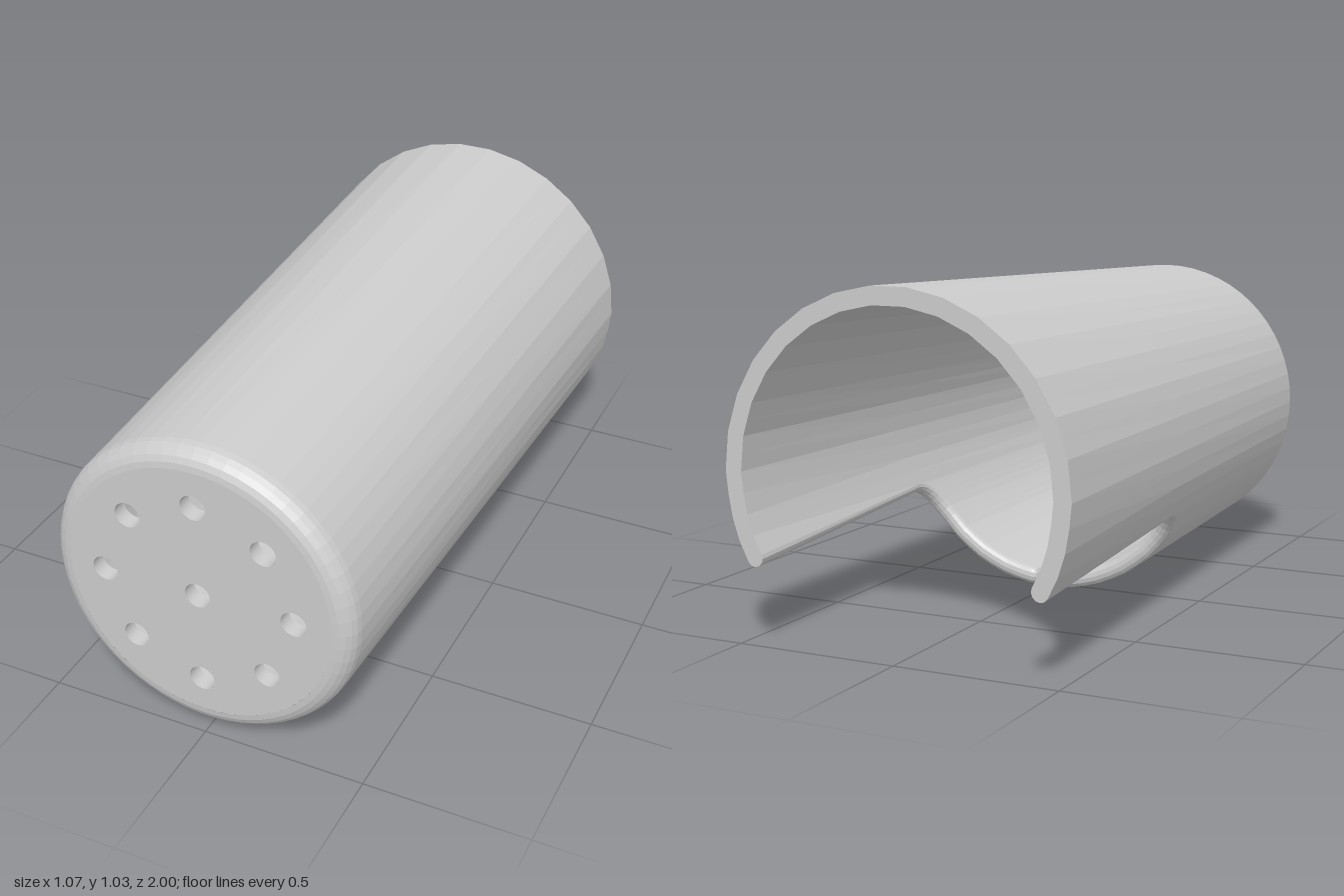
import * as THREE from 'three';

const CENTRE_Y = 0.502, WALL = 0.052, FILLET = 0.06, CAP = 0.05, ROUND = 0.02;
const DEG = Math.PI / 180, ARC = 0.5;            // ARC: path arc length per radian
const CUT_Z = -0.14, CUT_A = 64 * DEG * ARC;     // where the side edges of the cutout begin

const outerRadius = z => 0.501 - 0.034 * z;

// Position on the tapered tube: u is the angle from the bottom
function place(u, r, z) {
  // below the cutout corner, the side edges drift down towards the back
  const fade = THREE.MathUtils.clamp((90 - Math.abs(u) / DEG) / 26, 0, 1);
  const drift = 5.6 * DEG * fade * Math.max(0, (CUT_Z - z) / (1 + CUT_Z));
  const phi = u - Math.sign(u) * drift;
  // round at the front, thirty-sided at the back
  const d = phi - Math.round(phi / (12 * DEG)) * 12 * DEG;
  const facet = Math.cos(6 * DEG) / Math.cos(d);
  const rr = r * THREE.MathUtils.lerp(1, facet, (1 - z) / 2);
  return [rr * Math.sin(phi), CENTRE_Y - rr * Math.cos(phi), z];
}

// Half of the open edge as (arc, z) points with the direction into the material
function openEdge() {
  const path = new THREE.Path();
  path.moveTo(0, 0.38);
  path.lineTo(0.018, 0.38);
  path.quadraticCurveTo(0.045, 0.38, 0.045, 0.353);    // end of the slot
  path.lineTo(0.045, -0.01);
  path.quadraticCurveTo(0.045, -0.04, 0.075, -0.04);   // mouth of the slot
  for (let a = 0.12; a < 0.4; a += 0.05) path.lineTo(a, -0.04);
  path.lineTo(0.4, -0.04);
  path.bezierCurveTo(0.49, -0.04, CUT_A, -0.08, CUT_A, CUT_Z);
  path.lineTo(CUT_A, -1);
  const pts = path.getPoints(8);
  const edge = pts.map((p, i) => {
    const t = new THREE.Vector2();
    if (i > 0) t.add(p.clone().sub(pts[i - 1]).normalize());
    if (i < pts.length - 1) t.add(pts[i + 1].clone().sub(p).normalize());
    t.normalize();
    return { a: p.x, z: p.y, na: -t.y, nz: t.x };
  });
  // plain rim at the back
  for (let deg = 72; deg <= 180; deg += 6) edge.push({ a: deg * DEG * ARC, z: -1, na: 0, nz: 0 });
  return edge;
}

// One lengthwise section: front fillet, outer wall, rounded edge, inner wall
function section(e, side) {
  const rows = [];
  const put = (a, r, z) => rows.push(place(side * a / ARC, r, z));
  const a0 = e.a + e.na * ROUND, z0 = e.z + e.nz * ROUND;
  const mid = Math.max(z0, CUT_Z);
  for (let k = 0; k <= 5; k++) {
    const t = k / 5 * Math.PI / 2, z = 1 - FILLET + FILLET * Math.cos(t);
    put(a0, outerRadius(z) - FILLET * (1 - Math.sin(t)), z);
  }
  put(a0, outerRadius(mid), mid);
  for (let k = 0; k <= 6; k++) {
    const t = k / 6 * Math.PI, inset = ROUND * (1 - Math.sin(t));
    const z = e.z + e.nz * inset;
    put(e.a + e.na * inset, outerRadius(z) - WALL * (1 - Math.cos(t)) / 2, z);
  }
  put(a0, outerRadius(mid) - WALL, mid);
  put(a0, outerRadius(1 - CAP) - WALL, 1 - CAP);
  put(a0, outerRadius(1) - FILLET, 1 - CAP);
  return rows;
}

function shellGeometry() {
  const half = openEdge();
  const columns = [
    ...half.slice(1).reverse().map(e => section(e, -1)),
    ...half.map(e => section(e, 1)),
  ];
  const n = columns[0].length, index = [];
  for (let i = 0; i < columns.length - 1; i++) {
    for (let j = 0; j < n - 1; j++) {
      const p = i * n + j, q = p + n;
      index.push(p, p + 1, q, q, p + 1, q + 1);
    }
  }
  const geo = new THREE.BufferGeometry();
  geo.setAttribute('position', new THREE.Float32BufferAttribute(columns.flat(2), 3));
  geo.setIndex(index);
  geo.computeVertexNormals();
  return geo;
}

// Front disc with a centre hole and a ring of eight
function capGeometry() {
  const disc = new THREE.Shape().absarc(0, 0, outerRadius(1) - FILLET, 0, Math.PI * 2);
  const hole = (x, y) => disc.holes.push(new THREE.Path().absarc(x, y, 0.039, 0, Math.PI * 2, true));
  hole(0, 0);
  for (let i = 0; i < 8; i++) {
    const t = i * Math.PI / 4;
    hole(0.294 * Math.cos(t), 0.294 * Math.sin(t));
  }
  const geo = new THREE.ExtrudeGeometry(disc, { depth: CAP, bevelEnabled: false, curveSegments: 30 });
  return geo.translate(0, CENTRE_Y, 1 - CAP);
}

export function createModel() {
  const group = new THREE.Group();
  group.name = 'perforatedCup';
  const material = new THREE.MeshStandardMaterial({ color: 0xcccccc, flatShading: true });
  const add = (name, geo) => {
    const mesh = new THREE.Mesh(geo, material);
    mesh.name = name;
    group.add(mesh);
  };
  add('taperedShell', shellGeometry());
  add('perforatedCap', capGeometry());
  return group;
}
